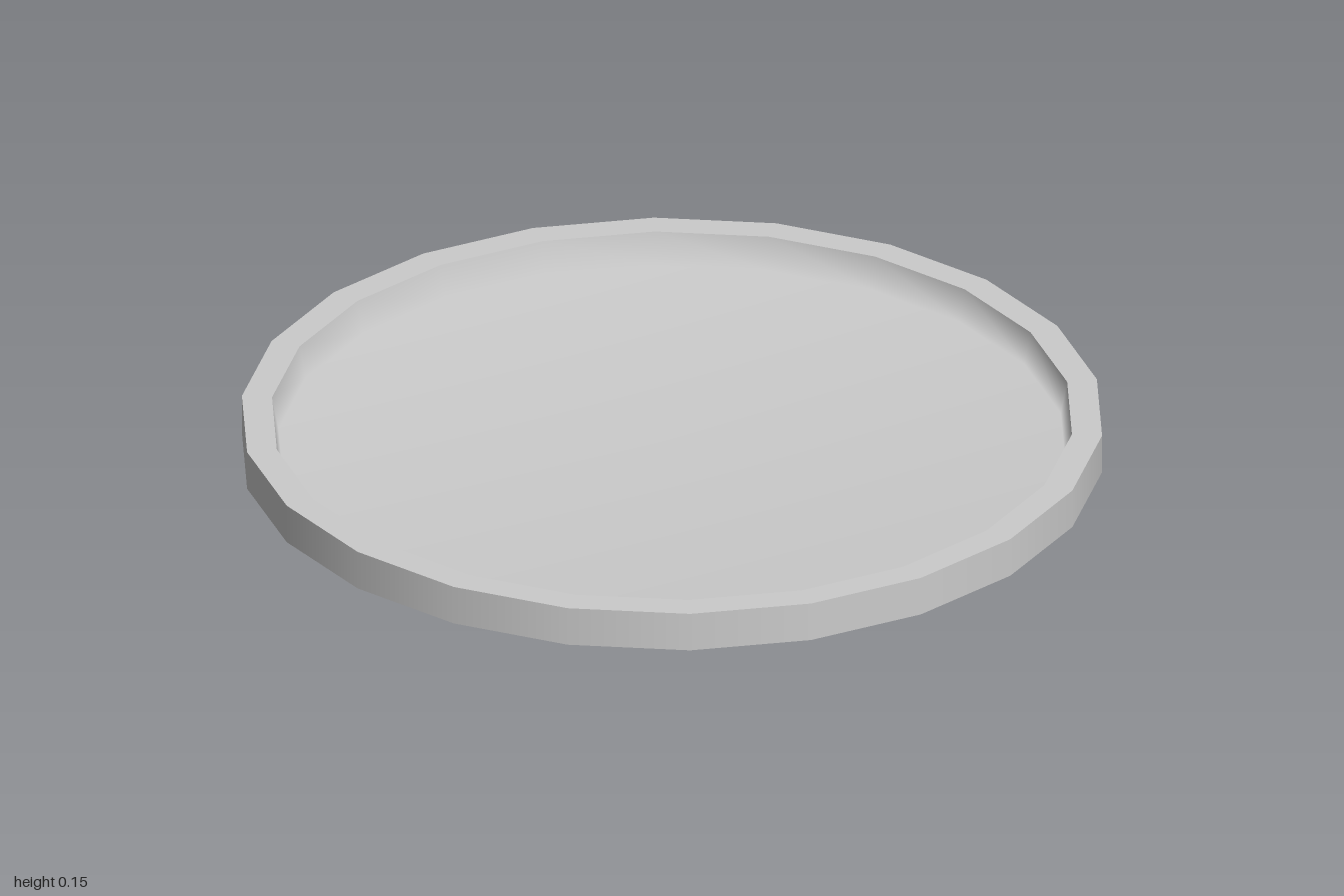
import * as THREE from 'three';

const SIDES = 22;

export function createModel() {
  const model = new THREE.Group();
  model.name = 'shallowTray';
  const material = new THREE.MeshStandardMaterial({ color: 0xcccccc });

  // Turns a [radius, height] profile; surfaces face right of the drawing direction
  function turn(name, profile, parent) {
    const points = profile.map(([r, y]) => new THREE.Vector2(r, y));
    const geometry = new THREE.LatheGeometry(points, SIDES, Math.PI / 2);
    const mesh = new THREE.Mesh(geometry, material);
    mesh.name = name;
    parent.add(mesh);
  }

  // Rim: separate bands keep the edges crisp while the sides stay smooth
  const rim = new THREE.Group();
  rim.name = 'rim';
  turn('rimUnderside', [[0.93, 0.055], [1, 0.055]], rim);
  turn('rimOuterWall', [[1, 0.055], [1, 0.15]], rim);
  turn('rimTop', [[1, 0.15], [0.93, 0.15]], rim);
  model.add(rim);

  // Sunken floor, shaded smoothly into its steep wall
  turn('floor', [[0.93, 0.15], [0.915, 0.07], [0, 0.07]], model);

  // Base with a sloping edge
  turn('base', [[0, 0], [0.85, 0], [0.935, 0.055]], model);

  return model;
}
